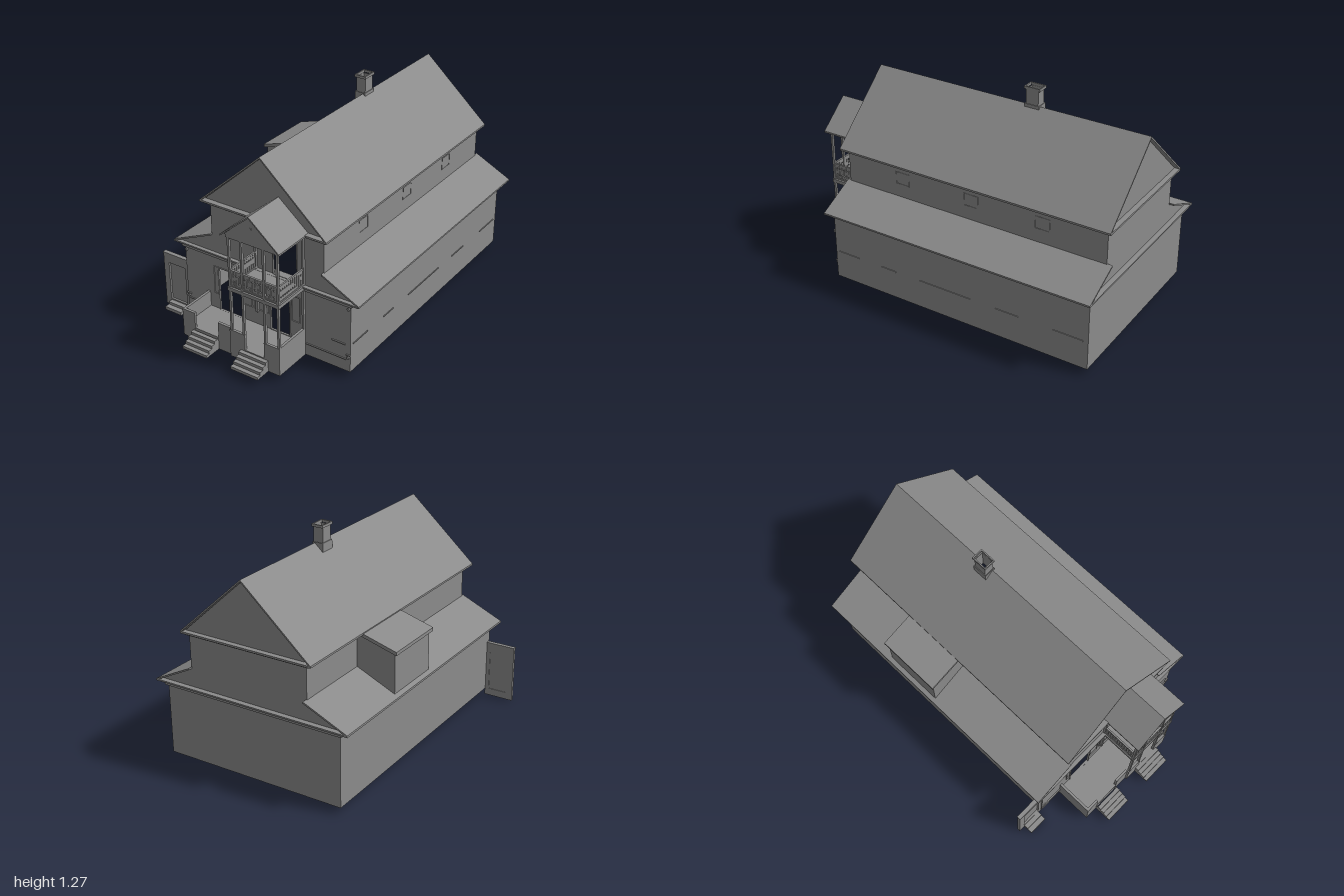
import * as THREE from 'three';

const mat = new THREE.MeshStandardMaterial({ color: 0x8b8b8b, flatShading: true, side: THREE.DoubleSide });

export function createModel() {
  const root = new THREE.Group();
  root.name = 'house';
  let target = root;

  const part = (name) => {
    target = new THREE.Group();
    target.name = name;
    root.add(target);
  };
  const add = (name, geo) => {
    const m = new THREE.Mesh(geo, mat);
    m.name = name;
    target.add(m);
    return m;
  };
  // box given by its limits
  const box = (name, x0, x1, y0, y1, z0, z1) => {
    const m = add(name, new THREE.BoxGeometry(x1 - x0, y1 - y0, z1 - z0));
    m.position.set((x0 + x1) / 2, (y0 + y1) / 2, (z0 + z1) / 2);
    return m;
  };
  const path = (pts) => pts.map(([x, y]) => new THREE.Vector2(x, y));
  const rect = (x0, x1, y0, y1) => [[x0, y0], [x1, y0], [x1, y1], [x0, y1]];
  // xy outline pushed along z, with optional holes
  const prism = (name, pts, z0, z1, holes = []) => {
    const s = new THREE.Shape(path(pts));
    holes.forEach((h) => s.holes.push(new THREE.Path(path(h))));
    const m = add(name, new THREE.ExtrudeGeometry(s, { depth: z1 - z0, bevelEnabled: false }));
    m.position.z = z0;
    return m;
  };
  // sloping slab between two points of the roof line
  const slab = (name, a, b, t, z0, z1) =>
    prism(name, [a, b, [b[0], b[1] - t], [a[0], a[1] - t]], z0, z1);
  const frame = (name, x0, x1, y0, y1, z0, z1, w) =>
    prism(name, rect(x0, x1, y0, y1), z0, z1, [rect(x0 + w, x1 - w, y0 + w, y1 - w)]);
  // hollow square tube standing upright
  const tube = (name, x0, x1, z0, z1, y0, y1, w) => {
    const m = prism(name, rect(x0, x1, -z1, -z0), 0, y1 - y0, [rect(x0 + w, x1 - w, -z1 + w, -z0 - w)]);
    m.rotation.x = -Math.PI / 2;
    m.position.y = y0;
  };

  const zf = 0.67, zb = -0.97;
  const apex = [0.07, 1.165];

  // Walls: open below, with see-through doorways in front
  part('walls');
  const outline = [[-0.49, 0.04], [0.605, 0.04], [0.605, 0.475], [0.65, 0.475], [0.44, 0.582], [0.44, 0.79],
    [0.465, 0.797], [0.07, 1.154], [-0.328, 0.797], [-0.295, 0.79], [-0.295, 0.584], [-0.54, 0.475], [-0.49, 0.475]];
  prism('frontWall', outline, zf - 0.008, zf, [
    rect(-0.255, -0.1, 0.115, 0.385), rect(0.095, 0.22, 0.12, 0.385), rect(0.118, 0.27, 0.48, 0.735)]);
  prism('backWall', outline, zb, zb + 0.008);
  box('leftLowerWall', -0.49, -0.482, 0.04, 0.48, zb, zf);
  box('rightLowerWall', 0.597, 0.605, 0.04, 0.48, zb, zf);
  box('leftUpperWall', -0.295, -0.287, 0.575, 0.8, zb, zf);
  box('rightUpperWall', 0.432, 0.44, 0.575, 0.8, zb, zf);

  // Cornices run around both storeys as hollow rings
  part('cornices');
  tube('lowerCornice', -0.505, 0.617, -0.985, 0.683, 0.45, 0.472, 0.02);
  tube('lowerEave', -0.55, 0.662, -1, 0.693, 0.47, 0.479, 0.065);
  tube('upperCornice', -0.318, 0.458, -0.985, 0.69, 0.778, 0.79, 0.03);
  tube('upperEave', -0.335, 0.472, -1, 0.703, 0.788, 0.799, 0.05);

  // Lower side roofs
  part('lowerRoofs');
  slab('leftLowerRoof', [-0.55, 0.482], [-0.29, 0.597], 0.01, -1, 0.69);
  slab('rightLowerRoof', [0.665, 0.48], [0.435, 0.595], 0.01, -1, 0.69);

  // Main roof, left open beneath the chimney
  part('mainRoof');
  const leftEave = [-0.34, 0.8], rightEave = [0.477, 0.8];
  const onRoof = (eave, x) => [x, eave[1] + (apex[1] - eave[1]) * (x - eave[0]) / (apex[0] - eave[0])];
  [[-1, -0.345, 0.07, 0.07], [-0.345, -0.265, 0.022, 0.082], [-0.265, 0.705, 0.07, 0.07]]
    .forEach(([z0, z1, xl, xr]) => {
      slab('leftRoofSlope', leftEave, onRoof(leftEave, xl), 0.011, z0, z1);
      slab('rightRoofSlope', rightEave, onRoof(rightEave, xr), 0.011, z0, z1);
    });

  // Chimney
  part('chimney');
  tube('chimneyFoot', 0.018, 0.085, -0.35, -0.26, 1.12, 1.17, 0.004);
  tube('chimneyShaft', 0.022, 0.081, -0.343, -0.268, 1.12, 1.255, 0.003);
  tube('chimneyCap', 0.016, 0.086, -0.354, -0.258, 1.255, 1.27, 0.007);

  // Side dormer
  part('dormer');
  prism('dormerBody', [[-0.525, 0.485], [-0.29, 0.588], [-0.29, 0.79], [-0.525, 0.722]], -0.507, -0.15);
  slab('dormerRoof', [-0.54, 0.738], [-0.32, 0.8], 0.02, -0.52, -0.135);

  // Front porch: deck, low walls with two openings, steps
  part('porch');
  const pf = 0.905, pl = 0.893, pw = 0.015;
  box('porchFloor', -0.34, 0.32, 0.1, 0.115, zf, pl - 0.003);
  [[-0.34, -0.255, 0.21, pl], [-0.255, -0.095, 0.115, pl], [-0.095, -0.005, 0.21, pl],
    [-0.005, 0.095, 0.21, pf], [0.095, 0.22, 0.115, pf], [0.22, 0.32, 0.21, pf]]
    .forEach(([x0, x1, top, z]) => box('porchFrontWall', x0, x1, 0.04, top, z - pw, z));
  box('porchLeftWall', -0.34, -0.325, 0.04, 0.21, zf, pl - pw);
  box('porchRightWall', 0.305, 0.32, 0.04, 0.21, zf, pf - pw);
  // each flight is open underneath: treads, risers and thin sides
  [[-0.26, -0.095, pl], [0.067, 0.245, pf]].forEach(([x0, x1, back]) => {
    for (let i = 0; i < 4; i++) {
      const y = 0.04 + i * 0.017, z = 1 - i * 0.024;
      box('tread', x0, x1, y + 0.014, y + 0.017, z - 0.024, z);
      box('riser', x0, x1, y, y + 0.017, z - 0.003, z);
      [x0, x1 - 0.003].forEach((x) => box('stepSide', x, x + 0.003, y, y + 0.017, back, z));
    }
  });

  // Posts carrying balcony and gable
  part('posts');
  [0, 0.081, 0.221, 0.307].forEach((x) => {
    box('lowerPost', x, x + 0.013, 0.2, 0.46, 0.889, 0.903);
    box('upperPost', x, x + 0.013, 0.47, 0.785, 0.889, 0.903);
  });
  [0, 0.307].forEach((x) => box('wallPost', x, x + 0.013, 0.2, 0.785, zf, 0.684));

  // Balcony with a railing of waisted boards
  part('balcony');
  box('balconyFloor', -0.004, 0.324, 0.457, 0.478, zf, 0.907);
  [0.483, 0.575].forEach((y) => {
    box('frontRail', 0, 0.32, y, y + 0.009, 0.89, 0.902);
    [0.001, 0.309].forEach((x) => box('sideRail', x, x + 0.01, y, y + 0.009, zf, 0.895));
  });
  const half = [[0.0078, 0.487], [0.0078, 0.505], [0.005, 0.513], [0.0078, 0.521],
    [0.0078, 0.545], [0.005, 0.553], [0.0078, 0.561], [0.0078, 0.578]];
  const board = [...half, ...half.map(([x, y]) => [-x, y]).reverse()];
  for (let i = 0; i < 17; i++) {
    prism('frontBaluster', board, 0.894, 0.898).position.x = 0.0215 + i * 0.0173;
  }
  for (let i = 0; i < 12; i++) {
    [0.004, 0.312].forEach((x) => {
      const b = prism('sideBaluster', board, 0, 0.004);
      b.rotation.y = Math.PI / 2;
      b.position.set(x, 0, 0.694 + i * 0.0172);
    });
  }

  // Small gable above the balcony
  part('porchGable');
  box('gableBeam', -0.004, 0.324, 0.777, 0.794, zf, 0.907);
  prism('gableFront', [[-0.015, 0.793], [0.335, 0.793], [0.16, 0.943]], 0.897, 0.907);
  slab('gableLeftRoof', [-0.025, 0.797], [0.16, 0.952], 0.01, zf - 0.01, 0.925);
  slab('gableRightRoof', [0.345, 0.797], [0.16, 0.952], 0.01, zf - 0.01, 0.925);
  for (let i = 0; i < 2; i++) {
    const bar = box('gableOrnament', 0.153, 0.167, 0.873, 0.877, 0.906, 0.91);
    bar.rotation.z = Math.PI / 4 + i * Math.PI / 2;
  }

  // Slim frames around front doors and windows
  part('frontFrames');
  [[-0.258, -0.097, 0.112, 0.388], [0.092, 0.223, 0.117, 0.388], [0.115, 0.273, 0.477, 0.738],
    [-0.292, -0.26, 0.21, 0.387], [-0.096, -0.03, 0.21, 0.387], [-0.014, 0.082, 0.21, 0.387], [0.232, 0.287, 0.225, 0.387]]
    .forEach(([x0, x1, y0, y1]) => frame('openingFrame', x0, x1, y0, y1, zf - 0.004, zf + 0.005, 0.004));

  // Thin sills and window frames along the sides
  part('sideTrim');
  [[0.505, 0.645], [0.245, 0.345], [-0.25, 0.085], [-0.55, -0.41], [-0.94, -0.76]].forEach(([z0, z1]) =>
    box('windowSill', 0.603, 0.609, 0.207, 0.213, z0, z1));
  [0.3, -0.15, -0.59].forEach((z) => {
    const f = frame('upperWindowFrame', -0.045, 0.045, 0.67, 0.745, 0, 0.004, 0.004);
    f.rotation.y = Math.PI / 2;
    f.position.set(0.438, 0, z);
  });

  // Narrow ledges and corner studs on the front
  part('frontTrim');
  [[-0.47, -0.34, 0.115], [0.325, 0.58, 0.115], [-0.495, -0.465, 0.145], [0.58, 0.608, 0.145], [0.49, 0.575, 0.207]]
    .forEach(([x0, x1, y]) => box('ledge', x0, x1, y - 0.003, y + 0.003, zf - 0.002, zf + 0.007));
  [-0.48, 0.593].forEach((x) => [0.13, 0.43].forEach((y) => {
    const stud = box('cornerStud', x - 0.008, x + 0.008, y - 0.008, y + 0.008, zf - 0.002, zf + 0.008);
    stud.rotation.z = Math.PI / 4;
  }));

  // Side gate with a recessed panel and its own steps
  part('sideGate');
  prism('gateFrame', rect(-0.667, -0.488, 0.002, 0.345), 0.643, 0.662, [rect(-0.63, -0.512, 0.045, 0.285)]);
  box('gatePanel', -0.632, -0.51, 0.043, 0.287, 0.646, 0.65);
  box('gateCap', -0.668, -0.488, 0.34, 0.347, 0.64, 0.665);
  box('gateLowerStep', -0.628, -0.512, 0, 0.02, 0.655, 0.72);
  box('gateUpperStep', -0.628, -0.512, 0.02, 0.037, 0.655, 0.69);

  return root;
}
